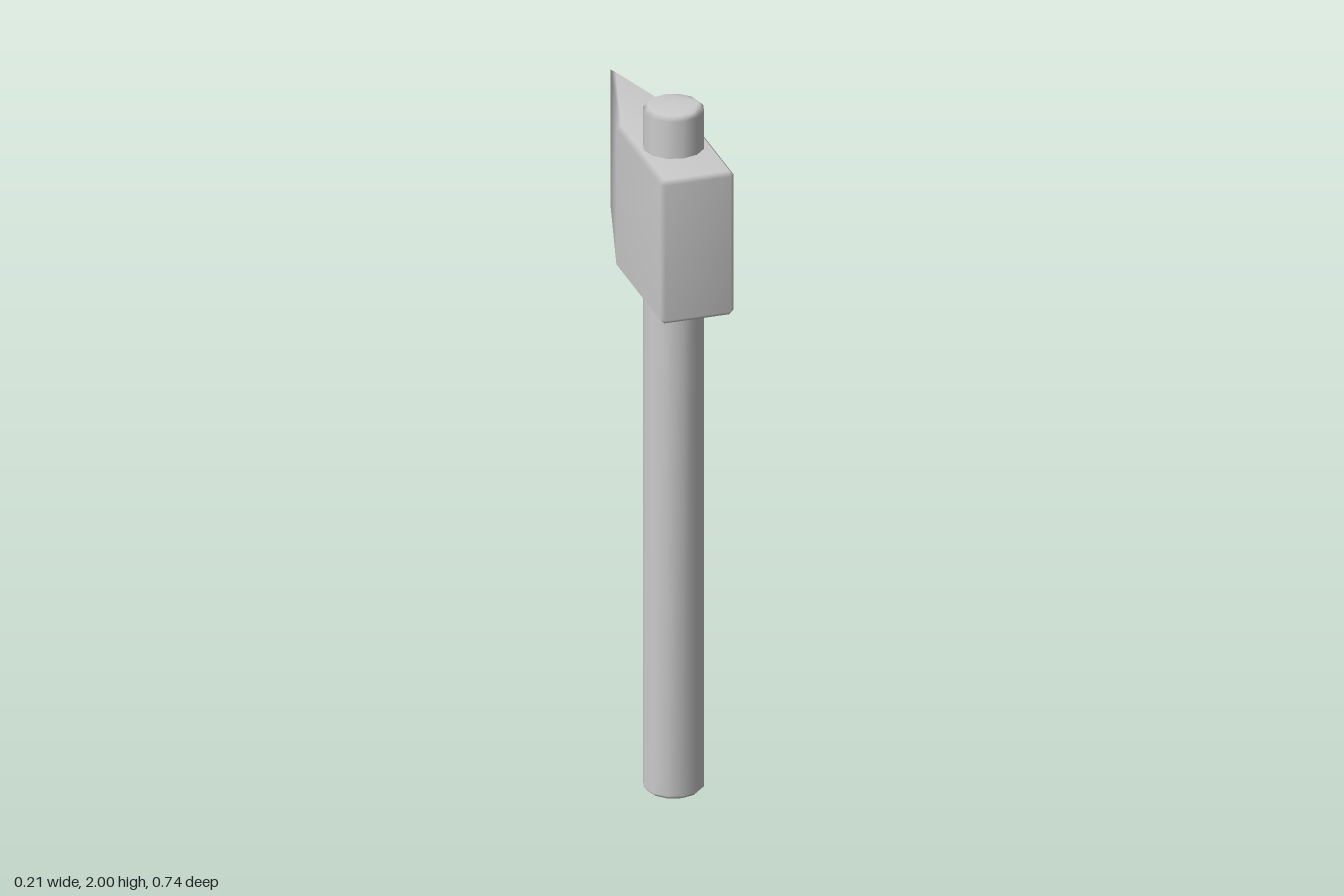
import * as THREE from 'three';
import { mergeVertices } from 'three/addons/utils/BufferGeometryUtils.js';

const material = new THREE.MeshStandardMaterial({ color: 0xcccccc });

// Smooth closed solid from convex [x, z] rings (counter-clockwise from above), listed bottom to top.
function loft(name, rings, heights) {
  const n = rings[0].length;
  const positions = rings.flatMap((ring, r) => ring.flatMap(([x, z]) => [x, heights[r], z]));
  const index = [];
  for (let r = 0; r < rings.length - 1; r++) {
    for (let i = 0; i < n; i++) {
      const a = r * n + i, b = r * n + (i + 1) % n;
      index.push(a, b, b + n, a, b + n, a + n);
    }
  }
  const top = (rings.length - 1) * n;
  for (let i = 1; i < n - 1; i++) {
    index.push(0, i + 1, i, top, top + i, top + i + 1);
  }
  let geometry = new THREE.BufferGeometry();
  geometry.setAttribute('position', new THREE.Float32BufferAttribute(positions, 3));
  geometry.setIndex(index);
  geometry = mergeVertices(geometry);
  geometry.computeVertexNormals();
  const mesh = new THREE.Mesh(geometry, material);
  mesh.name = name;
  return mesh;
}

// Solid whose top and bottom edges are bevelled from the outer ring to the inset ring.
function bevelled(name, outer, inset, bottom, top, bevel) {
  return loft(name, [inset, outer, outer, inset], [bottom, bottom + bevel, top - bevel, top]);
}

// Twelve-sided ring for the handle.
function circle(radius, z) {
  return Array.from({ length: 12 }, (_, i) => {
    const a = (i / 12) * Math.PI * 2;
    return [radius * Math.cos(a), z - radius * Math.sin(a)];
  });
}

// Head outline: wedge tip at the back, bevelled corners at the striking face.
function headOutline(halfWidth, shoulder, tip, cornerX, cornerZ, front) {
  return [
    [halfWidth, shoulder], [0, tip], [-halfWidth, shoulder],
    [-halfWidth, cornerZ], [-cornerX, front], [cornerX, front], [halfWidth, cornerZ],
  ];
}

export function createModel() {
  const model = new THREE.Group();
  model.name = 'hammer';

  // Round handle passing through the head
  model.add(bevelled('handle', circle(0.083, 0.161), circle(0.071, 0.161), 0, 2, 0.012));

  // Wedge-backed head
  model.add(bevelled('head',
    headOutline(0.103, -0.01, -0.37, 0.091, 0.356, 0.368),
    headOutline(0.091, -0.008, -0.325, 0.091, 0.356, 0.356),
    1.46, 1.88, 0.012));

  return model;
}
